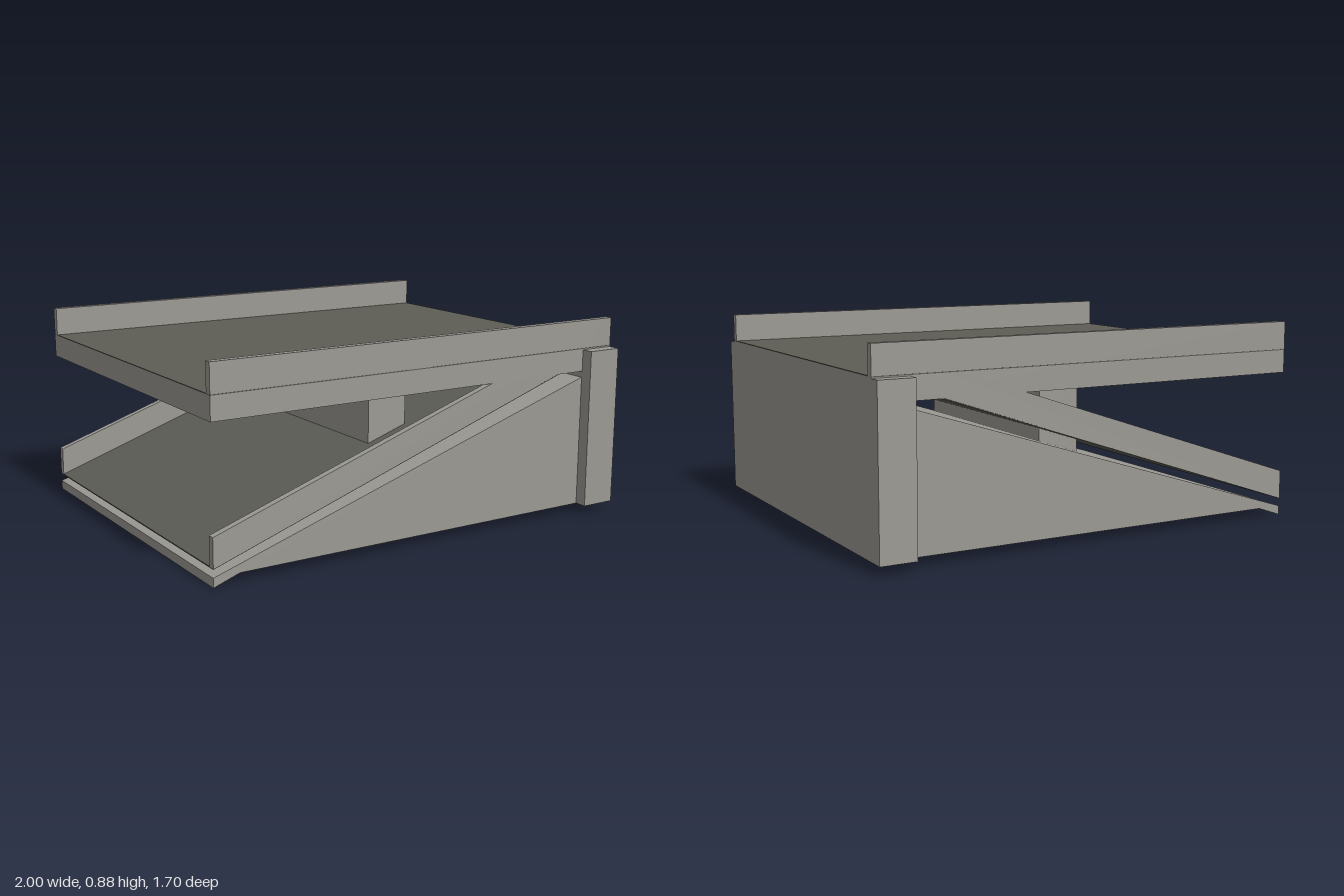
import * as THREE from 'three';

const concrete = new THREE.MeshStandardMaterial({ color: 0x9c9a94 });
concrete.name = 'concrete';
const asphalt = new THREE.MeshStandardMaterial({ color: 0x5d5d56 });
asphalt.name = 'asphalt';

export function createModel() {
  const group = new THREE.Group();
  group.name = 'rampedDeck';

  // Side profile in x and y, extruded from z0 to z1
  function profile(name, points, z0, z1, material) {
    const shape = new THREE.Shape(points.map(([x, y]) => new THREE.Vector2(x, y)));
    const geometry = new THREE.ExtrudeGeometry(shape, { depth: z1 - z0, bevelEnabled: false });
    geometry.translate(0, 0, z0);
    const mesh = new THREE.Mesh(geometry, material);
    mesh.name = name;
    group.add(mesh);
  }

  // Box given by its limits
  function block(name, x0, x1, y0, y1, z0, z1, material) {
    const mesh = new THREE.Mesh(new THREE.BoxGeometry(x1 - x0, y1 - y0, z1 - z0), material);
    mesh.position.set((x0 + x1) / 2, (y0 + y1) / 2, (z0 + z1) / 2);
    mesh.name = name;
    group.add(mesh);
  }

  // Wedge base with a thin tip at the low end
  profile('wedgeBase', [[-1, 0.003], [-0.885, 0.043], [0.99, 0.043], [0.99, 0.672], [-1, 0.043]],
    -0.795, 0.795, concrete);
  block('endWall', 0.84, 1, 0.043, 0.748, -0.85, 0.85, concrete);

  // Sloping ramp
  profile('rampSurface', [[-1, 0.077], [0.998, 0.75], [0.998, 0.753], [-1, 0.082]],
    -0.796, 0.796, asphalt);

  // Level upper deck
  block('upperSlab', -1, 1, 0.652, 0.752, -0.794, 0.794, concrete);
  block('deckSurface', -1, 1, 0.752, 0.756, -0.798, 0.798, asphalt);

  // Central support
  block('centralPier', -0.098, 0.092, 0.3, 0.75, -0.5, 0.5, concrete);

  // Parapets on both sides of the ramp and the deck
  for (const side of [-1, 1]) {
    const z0 = side > 0 ? 0.765 : -0.797;
    const z1 = side > 0 ? 0.797 : -0.765;
    profile('rampParapet', [[-1, 0.08], [0.997, 0.754], [0.997, 0.876], [-1, 0.205]], z0, z1, concrete);
    block('deckParapet', -1, 1, 0.652, 0.879, z0, z1, concrete);
  }
  return group;
}
